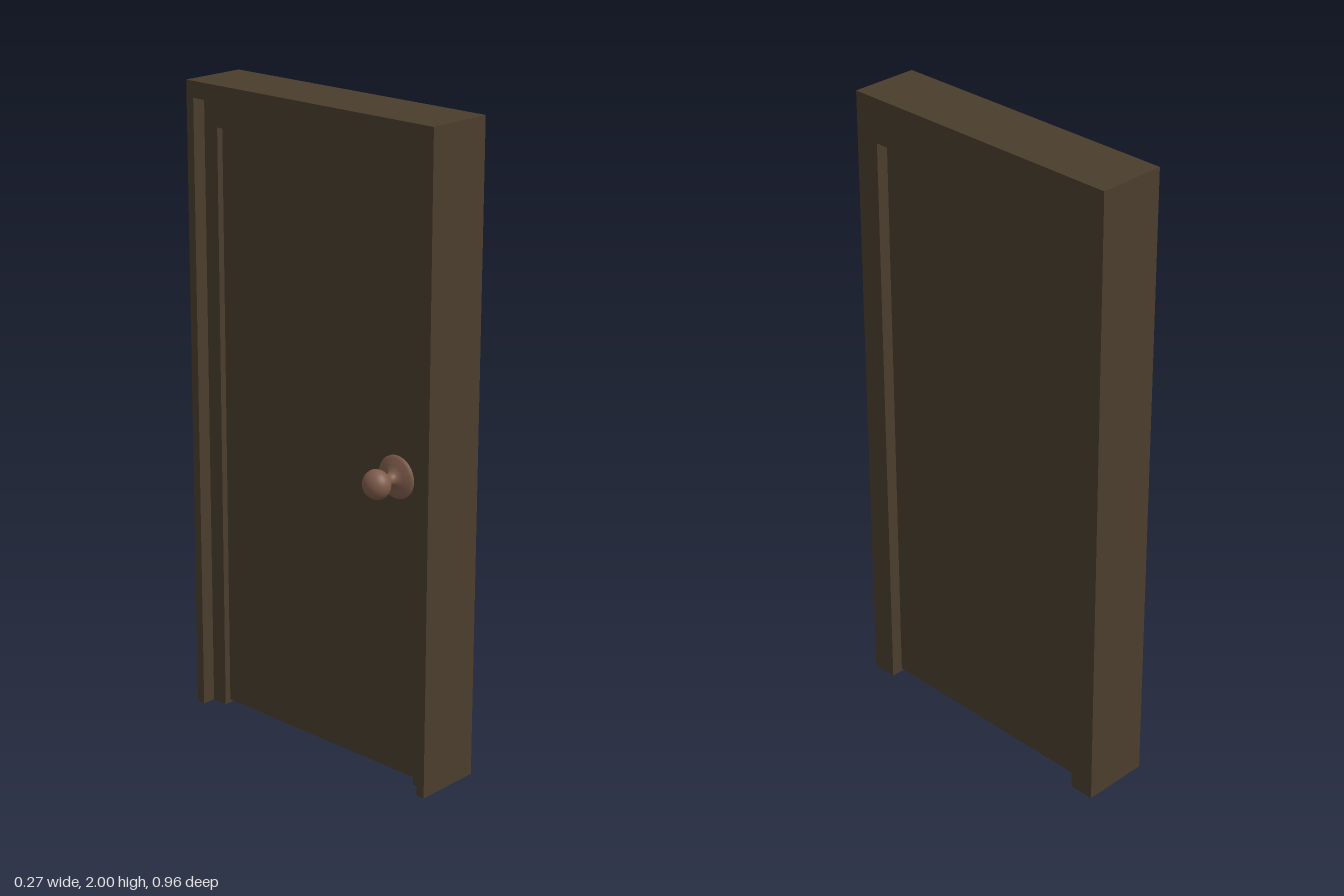
import * as THREE from 'three';

const HALF_WIDTH = 0.478;
const HEIGHT = 2;

// U-shaped door surround standing in the z-y plane, running from x0 to x1
function surround(name, halfOpening, openingTop, x0, x1, material) {
  const shape = new THREE.Shape([
    [-HALF_WIDTH, 0], [-halfOpening, 0], [-halfOpening, openingTop], [halfOpening, openingTop],
    [halfOpening, 0], [HALF_WIDTH, 0], [HALF_WIDTH, HEIGHT], [-HALF_WIDTH, HEIGHT],
  ].map(([a, b]) => new THREE.Vector2(a, b)));
  const geometry = new THREE.ExtrudeGeometry(shape, { depth: x1 - x0, bevelEnabled: false });
  geometry.rotateY(Math.PI / 2);
  geometry.translate(x0, 0, 0);
  const mesh = new THREE.Mesh(geometry, material);
  mesh.name = name;
  return mesh;
}

export function createModel() {
  const group = new THREE.Group();
  group.name = 'door';
  const wood = new THREE.MeshStandardMaterial({ name: 'dark wood', color: 0x4a3d2d });
  const bronze = new THREE.MeshStandardMaterial({ name: 'bronze', color: 0x7d5b4a });

  // Frame: deep jamb, plus a thin rim that forms the rebate
  group.add(surround('frameJamb', 0.397, 1.863, -0.034, 0.137, wood));
  group.add(surround('frameRim', 0.45, 1.95, -0.078, -0.034, wood));

  // Plain door leaf, just clear of the floor and the head of the frame
  const leaf = new THREE.Mesh(new THREE.BoxGeometry(0.112, 1.847, 0.794), wood);
  leaf.name = 'doorLeaf';
  leaf.position.set(0.043, 0.01 + 1.847 / 2, 0);
  group.add(leaf);

  // Knob: rosette, flared neck and flattened ball turned in one profile (radius, distance from door)
  const profile = [[0.066, 0], [0.066, 0.004], [0.058, 0.01], [0.038, 0.015], [0.024, 0.021], [0.018, 0.03], [0.017, 0.042], [0.021, 0.05]];
  const ballSteps = 14;
  for (let i = 0; i <= ballSteps; i++) {
    const t = THREE.MathUtils.lerp(-0.95, Math.PI / 2, i / ballSteps);
    profile.push([Math.max(0, 0.045 * Math.cos(t)), 0.087 + 0.038 * Math.sin(t)]);
  }
  const knob = new THREE.Mesh(
    new THREE.LatheGeometry(profile.map(([r, h]) => new THREE.Vector2(r, h)), 32), bronze);
  knob.name = 'doorKnob';
  knob.rotation.z = Math.PI / 2;
  knob.position.set(-0.0125, 0.945, 0.302);
  group.add(knob);

  return group;
}
